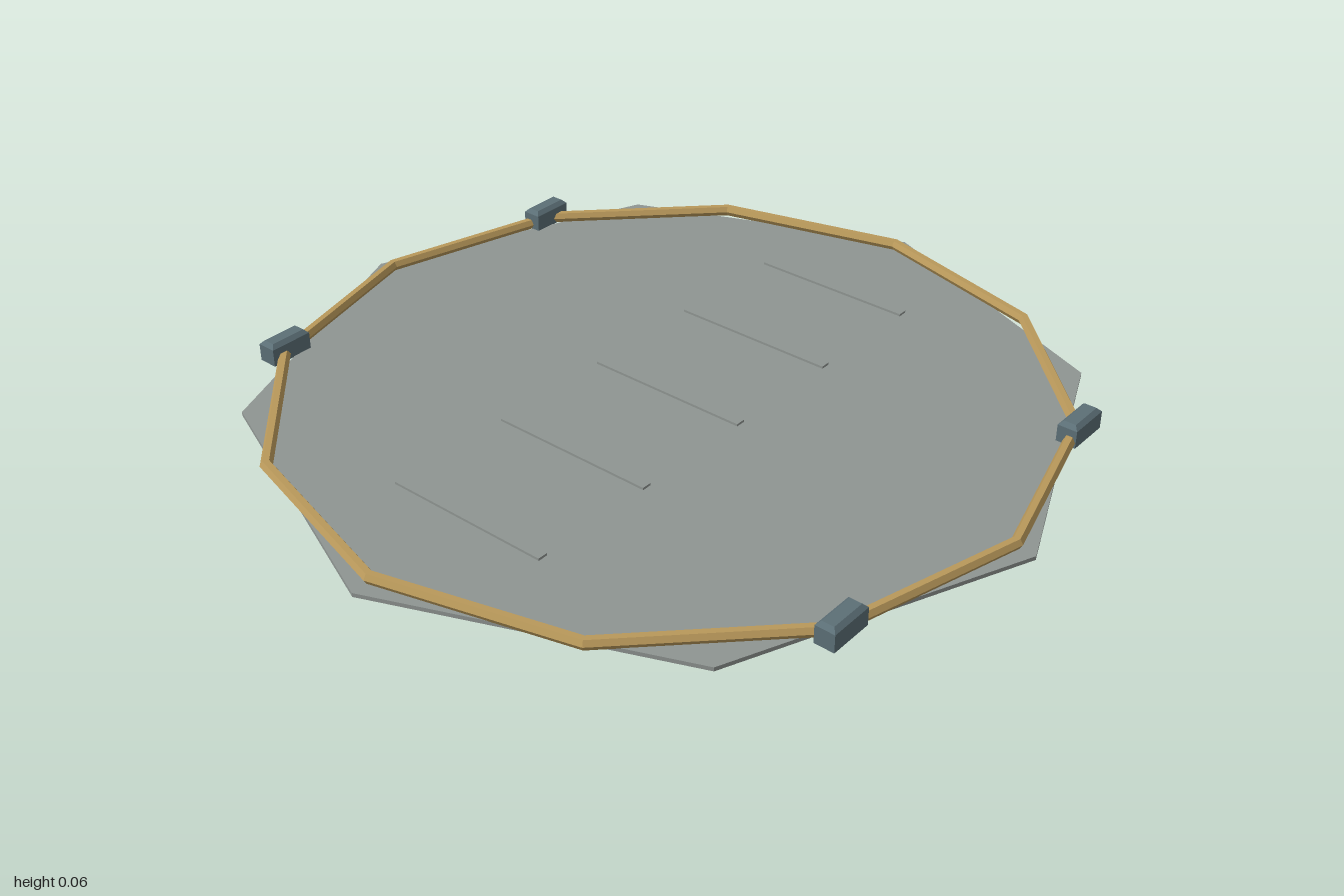
import * as THREE from 'three';

export function createModel() {
  const model = new THREE.Group();
  const mat = (name, color) => {
    const m = new THREE.MeshStandardMaterial({ color, flatShading: true });
    m.name = name;
    return m;
  };
  const stone = mat('stone grey', 0x8f9592);
  const brass = mat('brass', 0xb8985a);
  const slate = mat('slate', 0x5c6f76);

  const add = (name, geometry, material, x, y, z) => {
    const mesh = new THREE.Mesh(geometry, material);
    mesh.name = name;
    mesh.position.set(x, y, z);
    model.add(mesh);
    return mesh;
  };

  // Thin octagonal deck
  add('deck', new THREE.CylinderGeometry(1, 1, 0.01, 8), stone, 0, 0.005, 0);

  // Twelve-sided rim lying on the deck
  const ring = new THREE.TorusGeometry(0.952, 0.015, 6, 12);
  ring.rotateX(-Math.PI / 2);
  add('rim', ring, brass, 0, 0.022, 0);

  // Raised slats across the deck
  const slat = new THREE.BoxGeometry(0.434, 0.008, 0.025);
  for (let i = -2; i <= 2; i++) add('slat', slat, stone, 0, 0.012, i * 0.333);

  // Block with chamfered edges: the outer vertices of each level are set by its inset
  const clampGeometry = () => {
    const w = 0.025, d = 0.057, c = 0.01;
    const levels = [[0.008, 0], [0.053, 0], [0.063, c]];
    const g = new THREE.BoxGeometry(2, 2, 2, 1, 2, 1);
    const p = g.attributes.position;
    for (let i = 0; i < p.count; i++) {
      const [y, inset] = levels[Math.round(p.getY(i)) + 1];
      p.setXYZ(i, p.getX(i) * (w - inset), y, p.getZ(i) * (d - inset));
    }
    g.computeVertexNormals();
    return g;
  };

  // Four clamps holding the rim
  const clamp = clampGeometry();
  for (const sx of [-1, 1]) {
    for (const sz of [-1, 1]) add('clamp', clamp, slate, sx * 0.834, 0, sz * 0.466);
  }

  return model;
}
